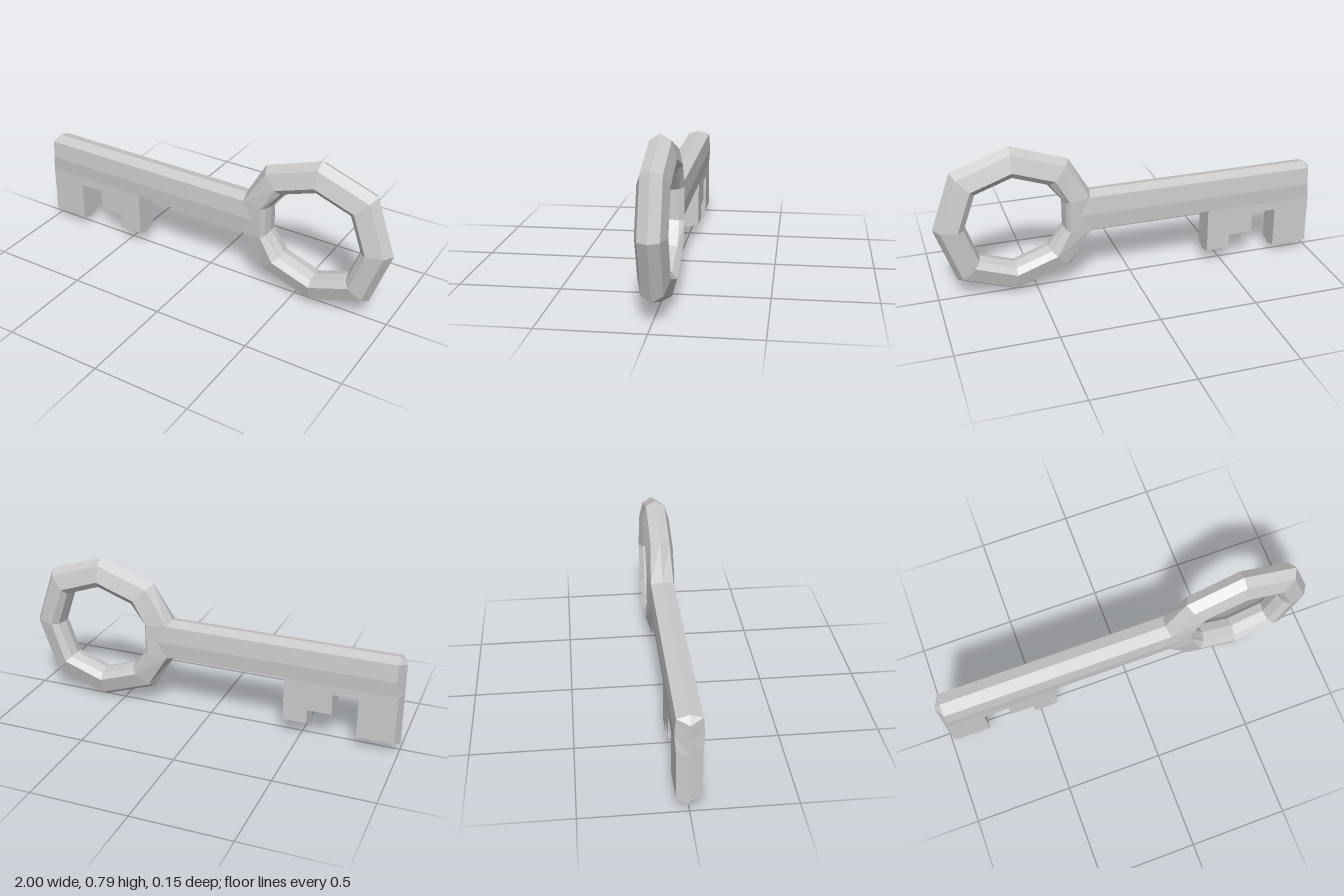
import * as THREE from 'three';

const CX = 0.607, CY = 0.393; // centre of the bow ring

// Completes a half section (first and last point on z = 0) with its mirror image behind
function mirrorZ(half) {
  const back = half.slice(1, -1).reverse().map(([x, y, z]) => [x, y, -z]);
  return [...half, ...back];
}

// Faceted skin over a row of equal-length closed sections
function loft(sections, closed) {
  const pos = [];
  const tri = new THREE.Triangle();
  const add = (a, b, c) => {
    tri.set(new THREE.Vector3(...a), new THREE.Vector3(...b), new THREE.Vector3(...c));
    if (tri.getArea() > 1e-7) pos.push(...a, ...b, ...c);
  };
  const last = closed ? sections.length : sections.length - 1;
  for (let i = 0; i < last; i++) {
    const s = sections[i], t = sections[(i + 1) % sections.length];
    for (let j = 0; j < s.length; j++) {
      const k = (j + 1) % s.length;
      add(s[j], t[k], t[j]);
      add(s[j], s[k], t[k]);
    }
  }
  const g = new THREE.BufferGeometry();
  g.setAttribute('position', new THREE.Float32BufferAttribute(pos, 3));
  g.computeVertexNormals();
  return g;
}

// Shaft section at x with its lower edge at yb: ridged top, bulged sides, ridged bottom
function shaftSection(x, yb) {
  return mirrorZ([
    [x, 0.5, 0], [x, 0.483, 0.06], [x, CY, 0.067],
    [x, 0.31, 0.06], [x, yb + 0.02, 0.06], [x, yb, 0],
  ]);
}

function shaftGeometry() {
  // Tip: sides close to a vertical ridge with a chamfered top corner
  const tip = shaftSection(-1, 0.035).map(([x, y]) => [x, Math.min(y, 0.465), 0]);
  const shoulder = shaftSection(0, 0.035).map(([, y, z]) => [y > 0.35 ? -0.968 : -0.98, y, z]);
  const sections = [tip, shoulder];
  // Teeth and notches: [end x, lower edge], stepping at each end
  const steps = [[-0.79, 0.035], [-0.66, 0.245], [-0.535, 0.135], [-0.41, 0.06], [0.3, 0.29]];
  let start = null;
  for (const [end, yb] of steps) {
    if (start !== null) sections.push(shaftSection(start, yb));
    sections.push(shaftSection(end, yb));
    start = end;
  }
  return loft(sections, false);
}

function bowGeometry() {
  // Ring profile from outer ridge over the face to the inner ridge: [radius, z]
  const profile = [[0.393, 0], [0.363, 0.05], [0.28, 0.074], [0.248, 0.05], [0.235, 0]];
  const corner = (sx, sy) => {
    const f = sx && sy ? 0.74 : 1;
    return mirrorZ(profile.map(([r, z]) => [CX + sx * r * f, CY + sy * r * f, z]));
  };
  // Flattened side that meets the shaft: [x, half height, z]
  const root = [[0.21, 0.107, 0], [0.225, 0.09, 0.06], [0.33, 0.083, 0.074], [0.345, 0.077, 0.05], [0.352, 0.072, 0]];
  const joint = (sy) => mirrorZ(root.map(([x, h, z]) => [x, CY + sy * h, z]));
  return loft([
    corner(1, 0), corner(1, -1), corner(0, -1), corner(-1, -1),
    joint(-1), joint(1),
    corner(-1, 1), corner(0, 1), corner(1, 1),
  ], true);
}

export function createModel() {
  const group = new THREE.Group();
  group.name = 'key';
  const material = new THREE.MeshStandardMaterial({ color: 0xcccccc, flatShading: true });
  const add = (name, geometry) => {
    const mesh = new THREE.Mesh(geometry, material);
    mesh.name = name;
    group.add(mesh);
  };
  add('shaftWithTeeth', shaftGeometry());
  add('bowRing', bowGeometry());
  return group;
}
